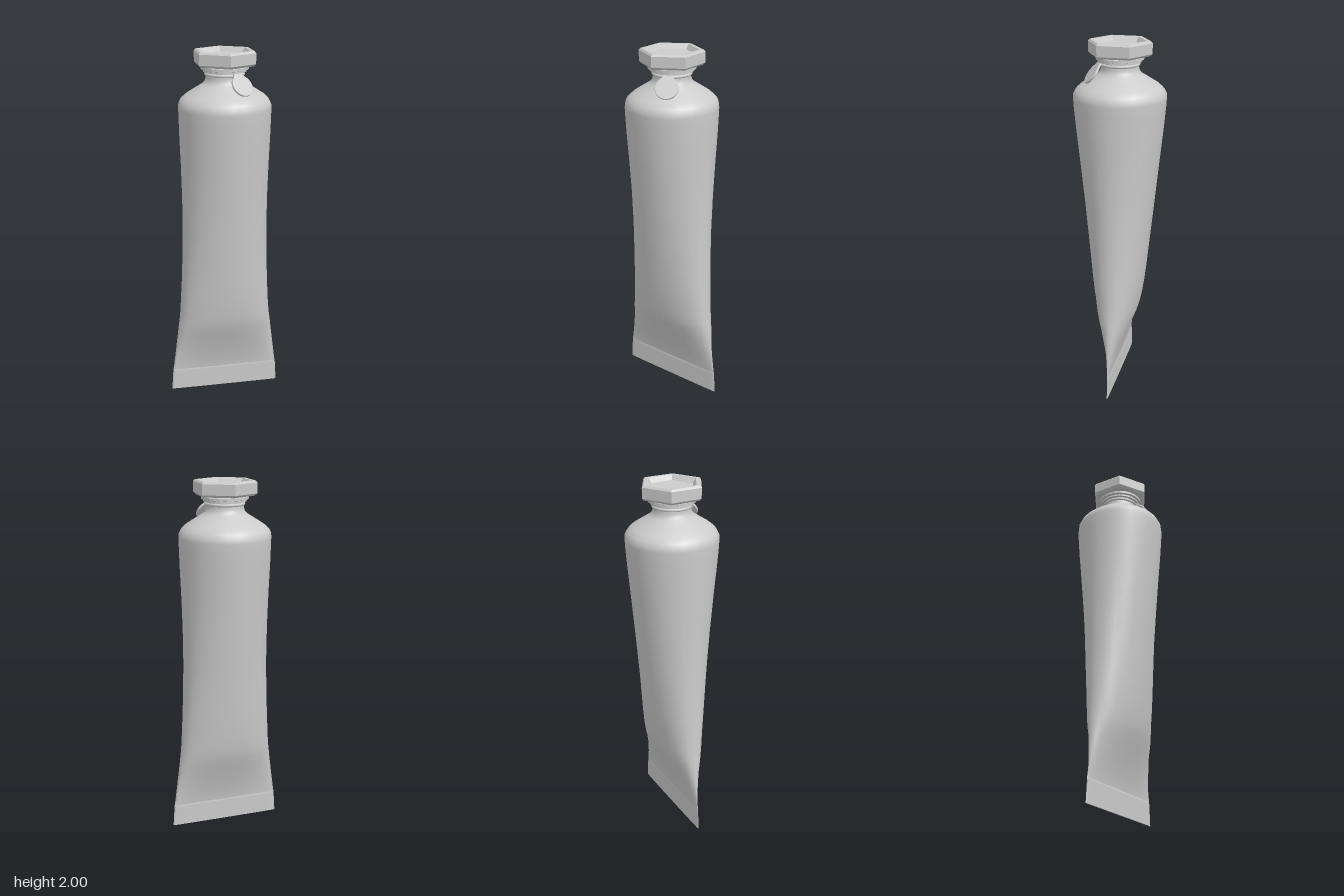
import * as THREE from 'three';

const material = (flatShading = false) =>
  new THREE.MeshStandardMaterial({ color: 0xcccccc, flatShading, side: THREE.DoubleSide });

// Closed rings stacked along y: [y, half width, half depth, power of the side curve]
function loft(rows, sides) {
  const pos = [], idx = [];
  rows.forEach(([y, rx, rz, power = 1], i) => {
    for (let j = 0; j < sides; j++) {
      const a = (j / sides) * Math.PI * 2, c = Math.cos(a);
      pos.push(rx * Math.sin(a), y, rz * Math.sign(c) * Math.pow(Math.abs(c), power));
      if (i === 0) continue;
      const k = (j + 1) % sides, lo = (i - 1) * sides, hi = i * sides;
      idx.push(lo + j, lo + k, hi + k, lo + j, hi + k, hi + j);
    }
  });
  const g = new THREE.BufferGeometry();
  g.setAttribute('position', new THREE.Float32BufferAttribute(pos, 3));
  g.setIndex(idx);
  g.computeVertexNormals();
  return g;
}

function lathe(points, sides) {
  return new THREE.LatheGeometry(points.map(([r, y]) => new THREE.Vector2(r, y)), sides);
}

export function createModel() {
  const model = new THREE.Group();
  model.name = 'squeezeTube';
  const add = (name, geometry, mat) => {
    const mesh = new THREE.Mesh(geometry, mat);
    mesh.name = name;
    model.add(mesh);
    return mesh;
  };

  // Flat crimped end; the doubled rings keep its edges sharp
  add('crimpedSeam', loft([
    [0, 0, 0], [0, 0.32, 0.004, 0.4],
    [0, 0.32, 0.004, 0.4], [0.12, 0.312, 0.005, 0.4],
    [0.12, 0.312, 0.005, 0.4], [0.135, 0.31, 0.003, 0.4],
  ], 24), material());

  // Tube swelling from the flat seam to a round shoulder and neck
  add('tubeBody', loft([
    [0.13, 0.311, 0.004, 0.5], [0.16, 0.306, 0.009, 0.7], [0.2, 0.301, 0.019, 0.8],
    [0.25, 0.294, 0.034, 0.85], [0.3, 0.288, 0.051, 0.85], [0.36, 0.28, 0.073, 0.85],
    [0.42, 0.273, 0.096, 0.85], [0.46, 0.267, 0.108, 0.86], [0.51, 0.262, 0.119, 0.87],
    [0.6, 0.256, 0.134, 0.9], [0.7, 0.25, 0.147, 0.92], [0.85, 0.243, 0.163, 0.95],
    [1.0, 0.239, 0.18], [1.2, 0.238, 0.201], [1.4, 0.242, 0.222],
    [1.55, 0.247, 0.238], [1.65, 0.249, 0.247], [1.7, 0.25, 0.25],
    [1.722, 0.248, 0.248], [1.745, 0.236, 0.236], [1.767, 0.212, 0.212],
    [1.8, 0.16, 0.16], [1.825, 0.119, 0.119], [1.84, 0.106, 0.106],
    [1.86, 0.1, 0.1], [1.9, 0.1, 0.1],
  ], 24), material());

  // Thin seal ring around the neck
  const seal = add('sealRing', new THREE.TorusGeometry(0.1, 0.008, 8, 24), material());
  seal.rotation.x = Math.PI / 2;
  seal.position.y = 1.877;

  // Stepped collar under the cap
  add('collar', lathe([
    [0.09, 1.89], [0.115, 1.89], [0.115, 1.9], [0.127, 1.903], [0.127, 1.916], [0.11, 1.92], [0.11, 1.93],
  ], 24).toNonIndexed(), material(true));

  // Hexagonal cap with bevelled rim and a recessed top
  add('hexagonalCap', lathe([
    [0, 1.922], [0.16, 1.922], [0.173, 1.934], [0.173, 1.99], [0.164, 2],
    [0.142, 2], [0.123, 1.975], [0, 1.975],
  ], 6), material(true));

  // Rounded pull tab hanging from the ring over the shoulder
  const outline = new THREE.Shape();
  outline.moveTo(-0.02, 0.095);
  outline.quadraticCurveTo(-0.018, 0.065, -0.038, 0.045);
  outline.absarc(0, 0, 0.059, Math.PI * 0.72, Math.PI * 2.28, false);
  outline.quadraticCurveTo(0.018, 0.065, 0.02, 0.095);
  outline.closePath();
  const tab = add('pullTab', new THREE.ExtrudeGeometry(outline, {
    depth: 0.008, curveSegments: 20, bevelThickness: 0.002, bevelSize: 0.002, bevelSegments: 1,
  }), material());
  const turn = 0.47;
  tab.rotation.set(-0.66, turn, 0, 'YXZ');
  tab.position.set(0.146 * Math.sin(turn), 1.83, 0.146 * Math.cos(turn));

  return model;
}
